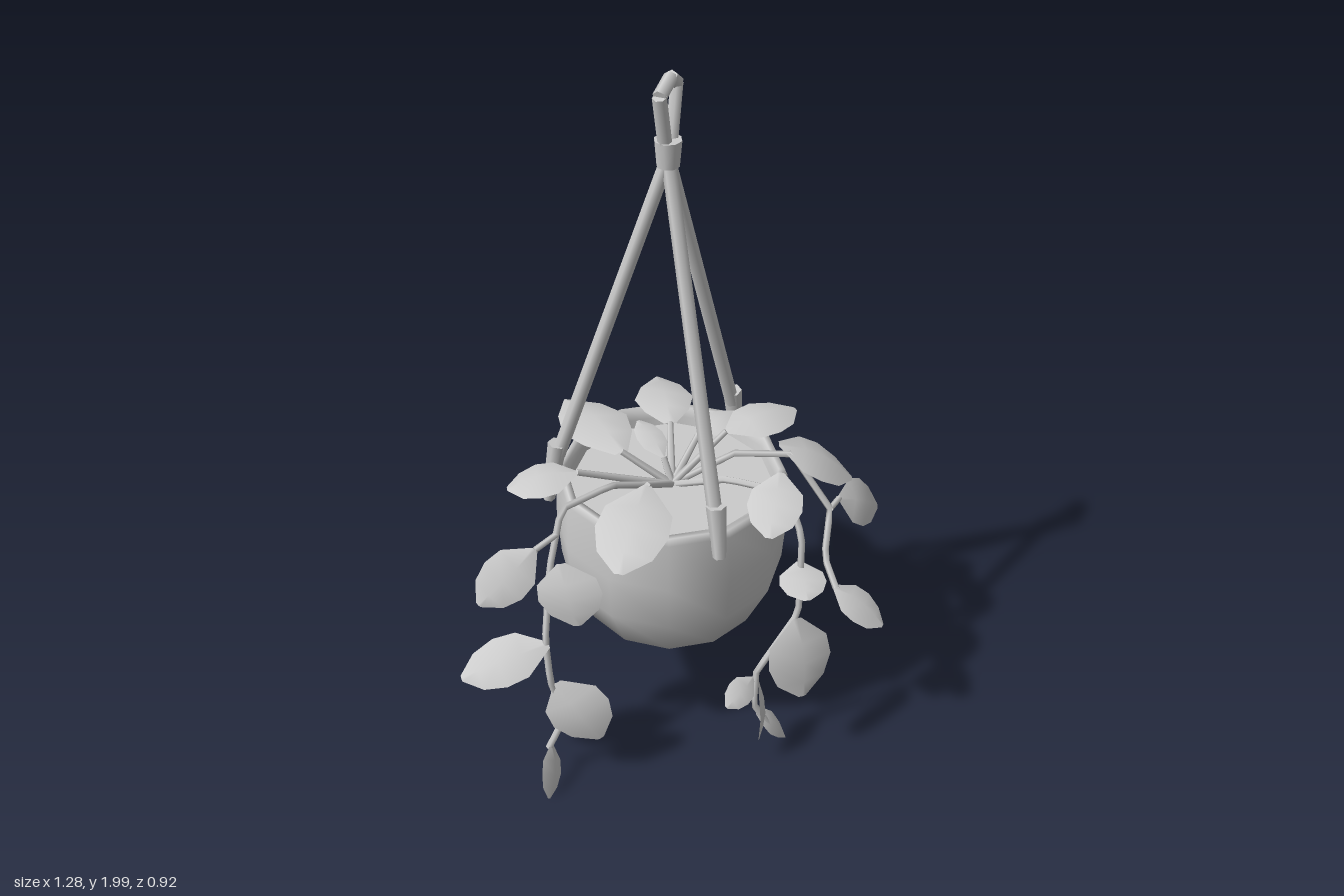
import * as THREE from 'three';

const V = (a) => new THREE.Vector3(...a);
const CX = 0.05, CZ = -0.03; // pot axis

export function createModel() {
  const model = new THREE.Group();
  const clay = new THREE.MeshStandardMaterial({ color: 0xcccccc, side: THREE.DoubleSide });
  clay.name = 'light grey';

  const add = (name, geometry, parent = model) => {
    const mesh = new THREE.Mesh(geometry, clay);
    mesh.name = name;
    parent.add(mesh);
    return mesh;
  };
  const group = (name) => {
    const g = new THREE.Group();
    g.name = name;
    model.add(g);
    return g;
  };

  // Straight round bar between two points
  const bar = (name, a, b, r0, r1, sides, parent) => {
    const p = V(a), q = V(b), d = q.clone().sub(p);
    const mesh = add(name, new THREE.CylinderGeometry(r1, r0, d.length(), sides), parent);
    mesh.position.copy(p).add(q).multiplyScalar(0.5);
    mesh.quaternion.setFromUnitVectors(new THREE.Vector3(0, 1, 0), d.normalize());
  };

  // Angular path through points
  const path = (points) => {
    const curve = new THREE.CurvePath();
    for (let i = 1; i < points.length; i++) {
      curve.add(new THREE.LineCurve3(V(points[i - 1]), V(points[i])));
    }
    return curve;
  };

  // Pot: softly shaded bowl with a thin rim and hollow top
  const profile = [[0, 0.38], [0.25, 0.38], [0.315, 0.52], [0.325, 0.66],
    [0.32, 0.81], [0.312, 0.83], [0.295, 0.83], [0.288, 0.8], [0.28, 0.74]];
  const pot = add('pot', new THREE.LatheGeometry(profile.map((p) => new THREE.Vector2(...p)), 12));
  pot.position.set(CX, 0, CZ);
  const soil = add('soil', new THREE.CircleGeometry(0.285, 12));
  soil.rotation.x = -Math.PI / 2;
  soil.position.set(CX, 0.775, CZ);

  // Hanger: three cords with sleeves, a knot and a loop
  const hanger = group('hanger');
  const apex = [0.035, 1.78, -0.03];
  const anchors = [[0.02, 0.9, 0.265], [0.325, 0.9, -0.175], [-0.225, 0.9, -0.18]];
  anchors.forEach(([x, y, z], i) => {
    bar('cord', [x, y - 0.03, z], apex, 0.02, 0.018, 6, hanger);
    const ox = (x - CX) * 0.1, oz = (z - CZ) * 0.1;
    const low = i === 0 ? 0.76 : 0.72;
    bar('cordSleeve', [x + ox, low, z + oz], [x, y + 0.01, z], 0.018, 0.027, 6, hanger);
  });
  bar('knot', [0.035, 1.76, -0.03], [0.035, 1.83, -0.03], 0.03, 0.036, 8, hanger);
  const loop = [[0.025, 1.81, -0.025], [-0.005, 1.96, 0.0], [0.05, 1.982, -0.045], [0.078, 1.955, -0.066],
    [0.048, 1.81, -0.037]];
  loop.slice(1).forEach((p, i) => bar('loop', loop[i], p, 0.018, 0.018, 6, hanger));

  // Leaf: folded blade from base to tip, arched along its length
  const rows = {
    round: [[0, 0.12], [0.3, 0.92], [0.55, 1], [0.8, 0.75], [1, 0.12]],
    pointed: [[0, 0.2], [0.22, 0.75], [0.45, 1], [0.72, 0.68], [1, 0.02]],
  };
  const leafGeometry = (base, tip, width, hint, shape) => {
    const b = V(base), d = V(tip).sub(b);
    const side = d.clone().cross(V(hint)).normalize();
    const normal = side.clone().cross(d).normalize();
    const pos = [], index = [];
    rows[shape].forEach(([t, w], r) => {
      for (const s of [-1, 0, 1]) {
        const lift = Math.sin(Math.PI * t) * d.length() * 0.1 - (s === 0 ? 0 : 0.13 * w * width);
        const p = b.clone().addScaledVector(d, t)
          .addScaledVector(side, s * w * width / 2).addScaledVector(normal, lift);
        pos.push(p.x, p.y, p.z);
      }
      if (r === 0) return;
      for (let c = 0; c < 2; c++) {
        const k = (r - 1) * 3 + c;
        index.push(k, k + 1, k + 3, k + 1, k + 4, k + 3);
      }
    });
    const g = new THREE.BufferGeometry();
    g.setAttribute('position', new THREE.Float32BufferAttribute(pos, 3));
    g.setIndex(index);
    g.computeVertexNormals();
    return g;
  };
  const up = [0, 1, 0];
  const leaves = (name, list) => {
    const g = group(name);
    for (const [base, tip, width, hint, shape = 'round'] of list) {
      add('leaf', leafGeometry(base, tip, width, hint, shape), g);
    }
  };

  // Leaves over the rim
  leaves('crownLeaves', [
    [[-0.07, 0.88, -0.1], [-0.07, 0.83, -0.465], 0.2, up, 'pointed'],
    [[0.12, 0.87, -0.17], [0.23, 0.82, -0.455], 0.17, up, 'pointed'],
    [[0.045, 0.84, -0.07], [0.045, 0.87, -0.22], 0.08, up],
    [[-0.23, 0.9, -0.05], [-0.41, 0.87, -0.11], 0.15, up],
    [[-0.09, 0.9, 0.09], [-0.28, 0.82, 0.29], 0.2, up],
    [[0.21, 0.91, -0.01], [0.44, 0.905, -0.02], 0.16, up],
    [[0.34, 0.87, 0.06], [0.525, 0.75, 0.16], 0.18, up],
    [[0.26, 0.89, 0.2], [0.14, 0.81, 0.34], 0.15, up],
    [[0.17, 0.85, -0.1], [0.32, 0.86, -0.14], 0.1, up],
  ]);

  // Leaves on the hanging vines
  leaves('rightVineLeaves', [
    [[-0.41, 0.78, 0.06], [-0.57, 0.63, 0.03], 0.14, [0, 0.75, 0.7]],
    [[-0.36, 0.75, 0.11], [-0.345, 0.57, 0.17], 0.18, [-0.6, 0.3, 0.75]],
    [[-0.41, 0.49, 0.12], [-0.64, 0.4, 0.04], 0.14, [0, 0.9, 0.6]],
    [[-0.4, 0.36, 0.14], [-0.31, 0.17, 0.22], 0.18, [-0.5, 0.3, 0.8]],
    [[-0.42, 0.12, 0.13], [-0.475, 0.01, 0.22], 0.09, [0.5, 0.4, 0.5]],
  ]);
  leaves('leftVineLeaves', [
    [[0.48, 0.7, 0.17], [0.64, 0.59, 0.14], 0.14, [0, 0.75, 0.7]],
    [[0.37, 0.54, 0.33], [0.46, 0.45, 0.45], 0.13, up],
  ]);
  leaves('frontVineLeaves', [
    [[0.26, 0.66, 0.31], [0.22, 0.62, 0.42], 0.13, up],
    [[0.24, 0.49, 0.35], [0.22, 0.27, 0.43], 0.2, [0, 0.4, 1]],
    [[0.13, 0.28, 0.31], [0.02, 0.25, 0.35], 0.08, [0, 0.7, 0.7]],
    [[0.14, 0.28, 0.32], [0.12, 0.09, 0.37], 0.08, [0.8, 0, 0.6]],
    [[0.14, 0.15, 0.32], [0.225, 0.03, 0.35], 0.08, [0.8, 0.3, 0.6], 'pointed'],
  ]);

  // Vines hanging over the rim, with side twigs
  const stems = group('stems');
  const root = [CX, 0.77, CZ];
  const stem = (name, points, radius) =>
    add(name, new THREE.TubeGeometry(path(points), (points.length - 1) * 4, radius, 5), stems);
  stem('vine', [root, [-0.15, 0.86, 0], [-0.32, 0.87, 0.04], [-0.37, 0.7, 0.06], [-0.415, 0.5, 0.11],
    [-0.415, 0.36, 0.13], [-0.38, 0.22, 0.14], [-0.43, 0.11, 0.13]], 0.01);
  stem('vine', [root, [0.22, 0.85, 0.02], [0.36, 0.85, 0.1], [0.43, 0.7, 0.2],
    [0.38, 0.59, 0.26], [0.37, 0.54, 0.34]], 0.01);
  stem('vine', [root, [0.15, 0.84, 0.1], [0.25, 0.86, 0.25], [0.26, 0.75, 0.32], [0.25, 0.5, 0.34],
    [0.14, 0.3, 0.31], [0.13, 0.18, 0.32], [0.17, 0.1, 0.34]], 0.01);
  stem('twig', [[0.43, 0.7, 0.2], [0.48, 0.7, 0.17]], 0.009);
  stem('twig', [[-0.34, 0.8, 0.05], [-0.41, 0.78, 0.06]], 0.009);
  // Short stalks from the soil to the crown leaves
  for (const end of [[-0.07, 0.88, -0.1], [0.12, 0.87, -0.17], [0.045, 0.84, -0.07], [-0.23, 0.9, -0.05],
    [-0.09, 0.9, 0.09], [0.21, 0.91, -0.01], [0.17, 0.85, -0.1]]) {
    bar('stalk', root, end, 0.012, 0.009, 5, stems);
  }
  return model;
}
